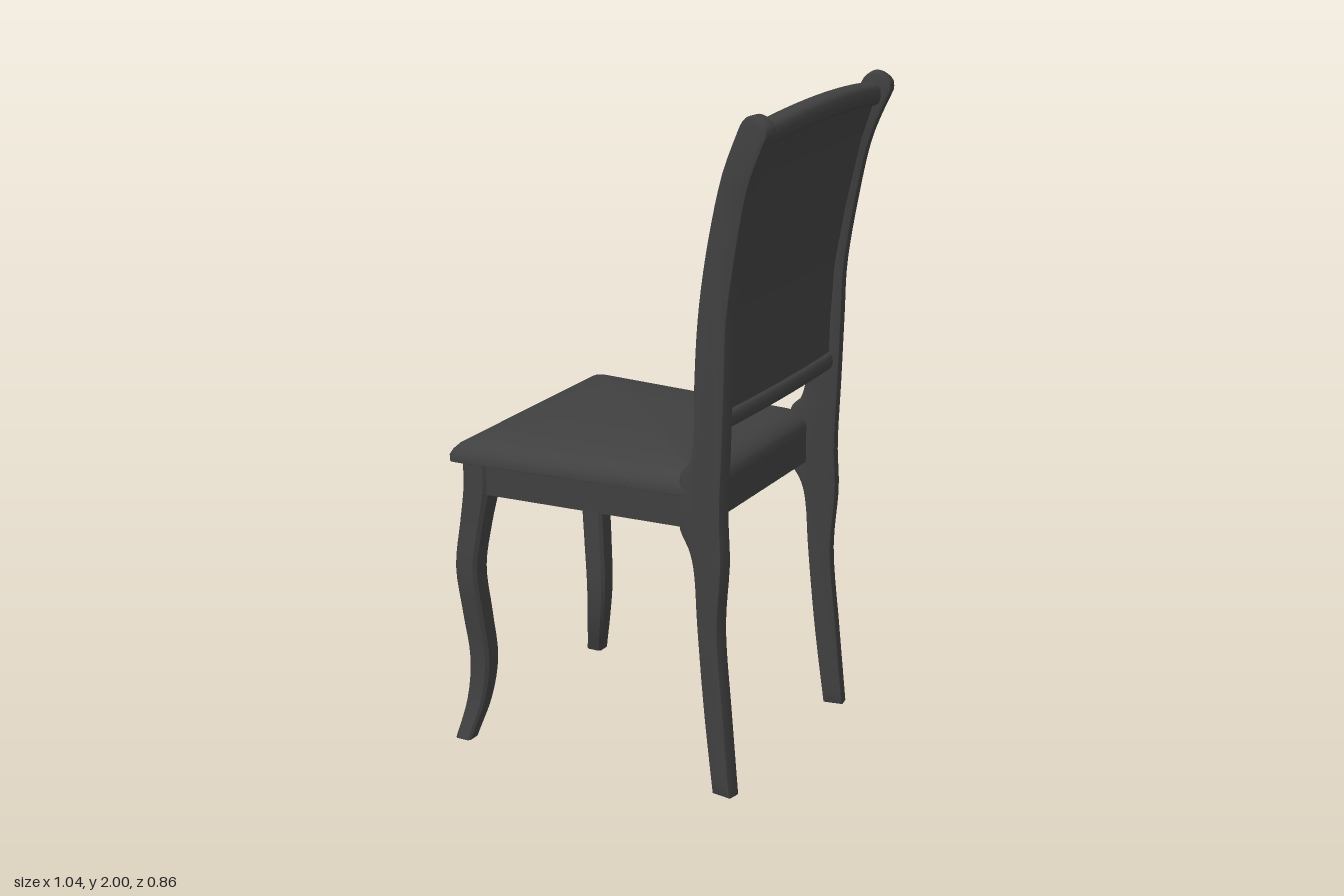
import * as THREE from 'three';
import { toCreasedNormals } from 'three/addons/utils/BufferGeometryUtils.js';

const material = new THREE.MeshStandardMaterial({ color: 0x404040 });
const POST_ANGLE = 0.17;

function mesh(name, geometry) {
  const m = new THREE.Mesh(geometry, material);
  m.name = name;
  return m;
}

// Skins rings of points (counter-clockwise about the direction of travel) and caps both ends.
function loft(rings, crease = 0.6) {
  const n = rings[0].length;
  const points = rings.flat();
  const index = [];
  for (let i = 0; i < rings.length - 1; i++) {
    for (let j = 0; j < n; j++) {
      const a = i * n + j, b = i * n + (j + 1) % n;
      index.push(a, b, a + n, b, b + n, a + n);
    }
  }
  const cap = (ring, start, flip) => {
    const c = new THREE.Vector3();
    ring.forEach((p) => c.addScaledVector(p, 1 / n));
    const k = points.push(c) - 1;
    for (let j = 0; j < n; j++) {
      const a = start + j, b = start + (j + 1) % n;
      if (flip) index.push(k, b, a); else index.push(k, a, b);
    }
  };
  cap(rings[0], 0, true);
  cap(rings[rings.length - 1], (rings.length - 1) * n, false);
  const g = new THREE.BufferGeometry().setFromPoints(points);
  g.setIndex(index);
  return toCreasedNormals(g, crease);
}

// Smooth curve through [x, y] pairs.
const spline = (pairs) => new THREE.SplineCurve(pairs.map(([x, y]) => new THREE.Vector2(x, y)));

// Centre line of the raked back at height y, and half the gap between posts there.
const LEAN = [[0.325, 1.05], [0.33, 1.25], [0.34, 1.42], [0.37, 1.6], [0.412, 1.8], [0.465, 1.97]];
function backX(y) {
  const k = Math.max(0, Math.min(LEAN.length - 2, LEAN.findIndex((p) => p[1] > y) - 1));
  const [[x0, y0], [x1, y1]] = [LEAN[k], LEAN[k + 1]];
  return x0 + (x1 - x0) * (y - y0) / (y1 - y0);
}
const backHalf = (x) => 0.37 + (x - 0.35) * POST_ANGLE;
const bow = (u) => 0.018 * (1 - u * u);

// Upholstered seat: tapered outline, stacked inwards into a dome.
function seat() {
  const ring = (inset, y) => {
    const x0 = -0.52 + inset, x1 = 0.285 - inset, r = Math.max(0.02, 0.025 - inset * 0.02);
    const half = (x) => 0.43 - (x + 0.52) * 0.065 - inset;
    const corners = [[x1, -1, 0], [x0, -1, 1], [x0, 1, 2], [x1, 1, 3]];
    const out = [];
    for (const [cx, s, q] of corners) {
      for (let k = 0; k <= 4; k++) {
        const t = (q + k / 4) * Math.PI / 2;
        const x = cx + (cx === x1 ? -r : r) + r * Math.cos(t);
        out.push(new THREE.Vector3(x, y, s * (half(cx) - r) - r * Math.sin(t)));
      }
    }
    return out;
  };
  const steps = [[0.012, 0.885], [0, 0.89], [0, 0.907], [0.008, 0.923], [0.022, 0.938], [0.045, 0.951],
    [0.08, 0.963], [0.14, 0.975], [0.21, 0.985], [0.29, 0.991], [0.36, 0.994]];
  return mesh('seat', loft(steps.map(([i, y]) => ring(i, y)), 0.9));
}

// Curved front leg with chamfered square section: [x, z, half width, y].
function frontLeg(side) {
  const keys = [[-0.495, 0.397, 0.026, 0], [-0.468, 0.362, 0.03, 0.12], [-0.456, 0.35, 0.034, 0.25],
    [-0.468, 0.361, 0.036, 0.4], [-0.48, 0.372, 0.037, 0.55], [-0.464, 0.363, 0.039, 0.69],
    [-0.448, 0.356, 0.043, 0.8], [-0.448, 0.356, 0.043, 0.89]];
  const path = new THREE.CatmullRomCurve3(keys.map(([x, z, , y]) => new THREE.Vector3(x, y, z)));
  const widths = spline(keys.map((k, i) => [i, k[2]]));
  const rings = [];
  for (let i = 0; i <= 28; i++) {
    const p = path.getPoint(i / 28), w = widths.getPoint(i / 28).y, c = w * 0.72;
    rings.push([[w, c], [c, w], [-c, w], [-w, c], [-w, -c], [-c, -w], [c, -w], [w, -c]]
      .map(([dx, dz]) => new THREE.Vector3(p.x + dx, p.y, side * p.z - dz)));
  }
  return mesh(side > 0 ? 'leftFrontLeg' : 'rightFrontLeg', loft(rings));
}

// Back leg and post in one piece, cut from a plank and turned slightly outwards.
function backPost(side) {
  const rear = spline([[0.41, 0], [0.385, 0.25], [0.362, 0.5], [0.374, 0.7], [0.368, 0.85], [0.375, 1.05],
    [0.381, 1.25], [0.387, 1.42], [0.417, 1.62], [0.455, 1.8], [0.515, 1.945]]).getPoints(44);
  const top = spline([[0.515, 1.945], [0.512, 1.972], [0.487, 1.993], [0.46, 1.998], [0.437, 1.985],
    [0.422, 1.96]]).getPoints(12);
  const front = spline([[0.422, 1.96], [0.365, 1.82], [0.318, 1.62], [0.288, 1.42], [0.276, 1.22],
    [0.274, 1.06], [0.258, 0.99], [0.228, 0.955], [0.225, 0.87], [0.226, 0.79], [0.262, 0.725],
    [0.279, 0.65], [0.29, 0.5], [0.315, 0.25], [0.348, 0]]).getPoints(60);
  const shape = new THREE.Shape([...rear, ...top.slice(1), ...front.slice(1)]);
  const g = new THREE.ExtrudeGeometry(shape, { depth: 0.034, bevelEnabled: true, bevelThickness: 0.008,
    bevelSize: 0.007, bevelOffset: -0.007, bevelSegments: 2 });
  g.translate(-0.35, 0, -0.017);
  const post = mesh(side > 0 ? 'leftBackPost' : 'rightBackPost', toCreasedNormals(g, 0.5));
  post.position.set(0.35, 0, side * 0.37);
  post.rotation.y = -side * POST_ANGLE;
  return post;
}

// Rounded rail between the posts, arched upwards and bowed backwards.
function rail(name, y, arch, rx, ry) {
  const rings = [];
  for (let i = 0; i <= 20; i++) {
    const u = i / 10 - 1, cy = y + arch * (1 - u * u), cx = backX(y) + bow(u);
    rings.push(Array.from({ length: 16 }, (_, j) => {
      const t = j / 8 * Math.PI, c = Math.cos(t), s = Math.sin(t);
      return new THREE.Vector3(cx + rx * Math.sign(c) * Math.abs(c) ** 0.7,
        cy + ry * Math.sign(s) * Math.abs(s) ** 0.7, u * backHalf(cx));
    }));
  }
  return mesh(name, loft(rings));
}

// Padded back: bowed rear face, cushion swelling towards the seat.
function backPanel() {
  const rings = [], N = 20;
  for (let i = 0; i <= 28; i++) {
    const u = i / 14 - 1, yTop = 1.915 + 0.024 * (1 - u * u);
    const face = (v, front) => {
      const y = 1.13 + (yTop - 1.13) * v, c = backX(y);
      const swell = 0.07 * (1 - u ** 4) * Math.sin(Math.PI * v);
      const x = front ? c - 0.028 - swell : c + 0.02 + bow(u);
      return new THREE.Vector3(x, y, u * backHalf(c));
    };
    const ring = [];
    for (let k = 0; k <= N; k++) ring.push(face(k / N, false));
    for (let k = N; k >= 0; k--) ring.push(face(k / N, true));
    rings.push(ring);
  }
  return mesh('backPanel', loft(rings, 0.7));
}

// Apron board between two floor-plan points.
function apron(name, x0, z0, x1, z1) {
  const b = mesh(name, new THREE.BoxGeometry(Math.hypot(x1 - x0, z1 - z0), 0.105, 0.045));
  b.position.set((x0 + x1) / 2, 0.8425, (z0 + z1) / 2);
  b.rotation.y = -Math.atan2(z1 - z0, x1 - x0);
  return b;
}

export function createModel() {
  const chair = new THREE.Group();
  chair.name = 'chair';
  chair.add(seat(), backPanel());
  chair.add(rail('topRail', 1.93, 0.025, 0.034, 0.034), rail('bottomRail', 1.118, 0.006, 0.034, 0.03));
  for (const side of [1, -1]) {
    chair.add(frontLeg(side), backPost(side));
    chair.add(apron(side > 0 ? 'leftApron' : 'rightApron', -0.45, side * 0.37, 0.27, side * 0.335));
  }
  chair.add(apron('frontApron', -0.455, -0.35, -0.455, 0.35), apron('rearApron', 0.262, -0.345, 0.262, 0.345));
  return chair;
}
